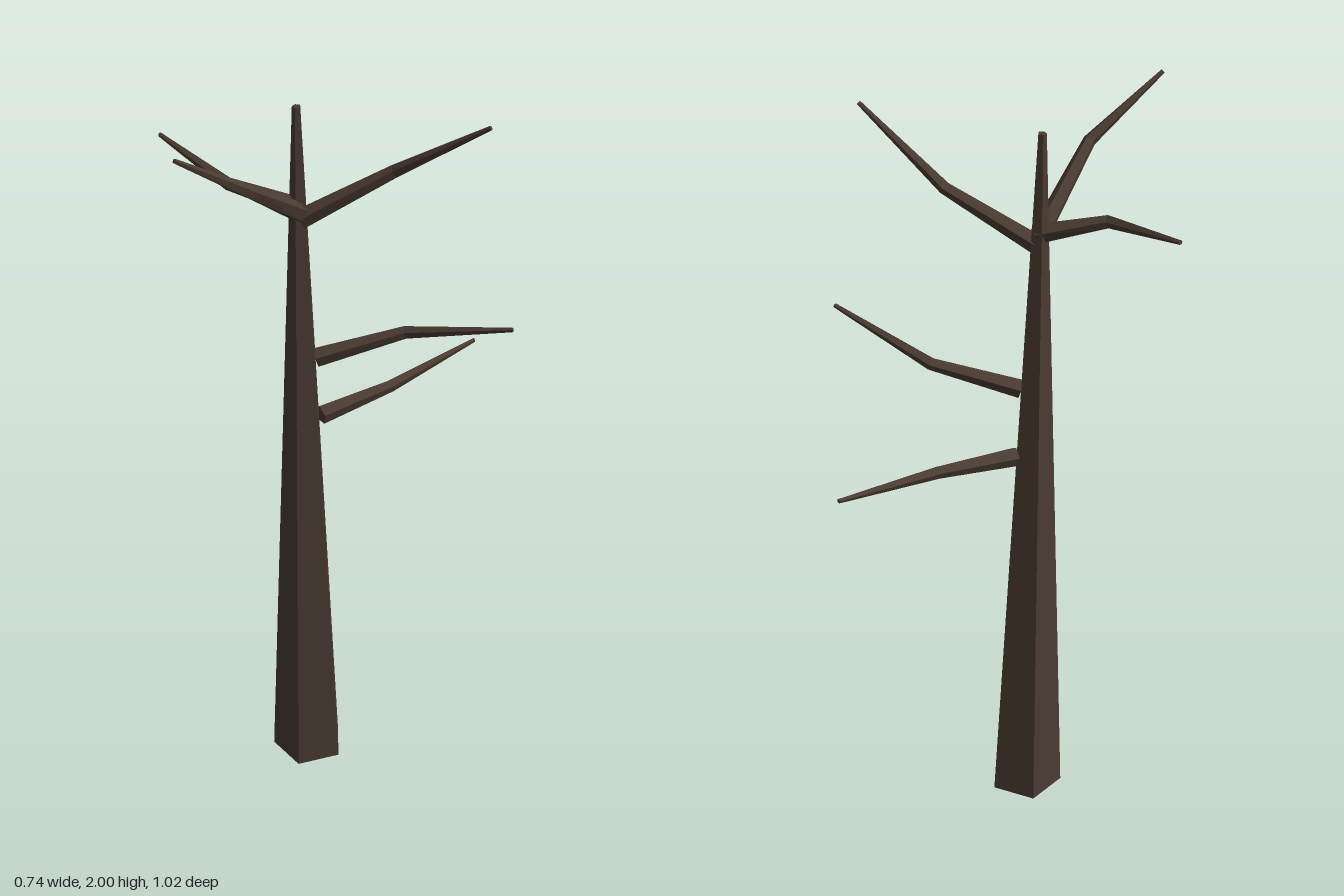
import * as THREE from 'three';

const SIDES = 5;

// Faceted limb: five-sided rings set square to a path, joined and capped.
// The first corner of every ring points towards `ref`.
function limb(points, radii, ref) {
  const path = points.map((p) => new THREE.Vector3(...p));
  const pos = [];
  const index = [];
  path.forEach((p, i) => {
    const a = path[Math.max(i - 1, 0)];
    const b = path[Math.min(i + 1, path.length - 1)];
    const t = b.clone().sub(a).normalize();
    const side = new THREE.Vector3().crossVectors(t, ref).normalize();
    const up = new THREE.Vector3().crossVectors(side, t);
    for (let k = 0; k < SIDES; k++) {
      const angle = (k / SIDES) * Math.PI * 2;
      const v = p.clone()
        .addScaledVector(up, Math.cos(angle) * radii[i])
        .addScaledVector(side, Math.sin(angle) * radii[i]);
      pos.push(v.x, v.y, v.z);
    }
  });
  for (let i = 0; i < path.length - 1; i++) {
    for (let k = 0; k < SIDES; k++) {
      const a = i * SIDES + k;
      const b = i * SIDES + ((k + 1) % SIDES);
      index.push(a, b, b + SIDES, a, b + SIDES, a + SIDES);
    }
  }
  const last = (path.length - 1) * SIDES;
  for (let k = 1; k < SIDES - 1; k++) {
    index.push(0, k + 1, k); // bottom cap
    index.push(last, last + k, last + k + 1); // tip cap
  }
  const geo = new THREE.BufferGeometry();
  geo.setAttribute('position', new THREE.Float32BufferAttribute(pos, 3));
  geo.setIndex(index);
  const flat = geo.toNonIndexed();
  flat.computeVertexNormals();
  return flat;
}

export function createModel() {
  const bark = new THREE.MeshStandardMaterial({ color: 0x4a3b31, flatShading: true });
  bark.name = 'darkBark';
  const tree = new THREE.Group();
  tree.name = 'bareTree';

  const add = (name, points, radii, ref) => {
    const mesh = new THREE.Mesh(limb(points, radii, ref), bark);
    mesh.name = name;
    tree.add(mesh);
  };

  // Leaning, tapering trunk
  add('trunk', [[-0.093, 0.006, 0.003], [-0.006, 1.99, 0.095]], [0.1, 0.011],
    new THREE.Vector3(0, 0, -1));

  // Bent branches: root, elbow, tip
  const branches = {
    upperRightBranch: [[-0.01, 1.72, 0.08], [-0.13, 1.775, 0.21], [-0.37, 1.83, 0.25]],
    upperLeftBranch: [[-0.01, 1.69, 0.08], [0.14, 1.825, -0.09], [0.36, 1.985, -0.2]],
    upperFrontBranch: [[-0.015, 1.7, 0.075], [0.1, 1.86, 0.3], [0.095, 1.995, 0.508]],
    middleLeftBranch: [[-0.02, 1.285, 0.03], [0.108, 1.352, -0.157], [0.366, 1.427, -0.289]],
    lowerBackBranch: [[-0.042, 1.096, 0], [-0.024, 1.118, -0.215], [-0.039, 1.153, -0.508]],
  };
  const up = new THREE.Vector3(0, 1, 0);
  for (const [name, points] of Object.entries(branches)) {
    add(name, points, [0.026, 0.017, 0.006], up);
  }
  return tree;
}
